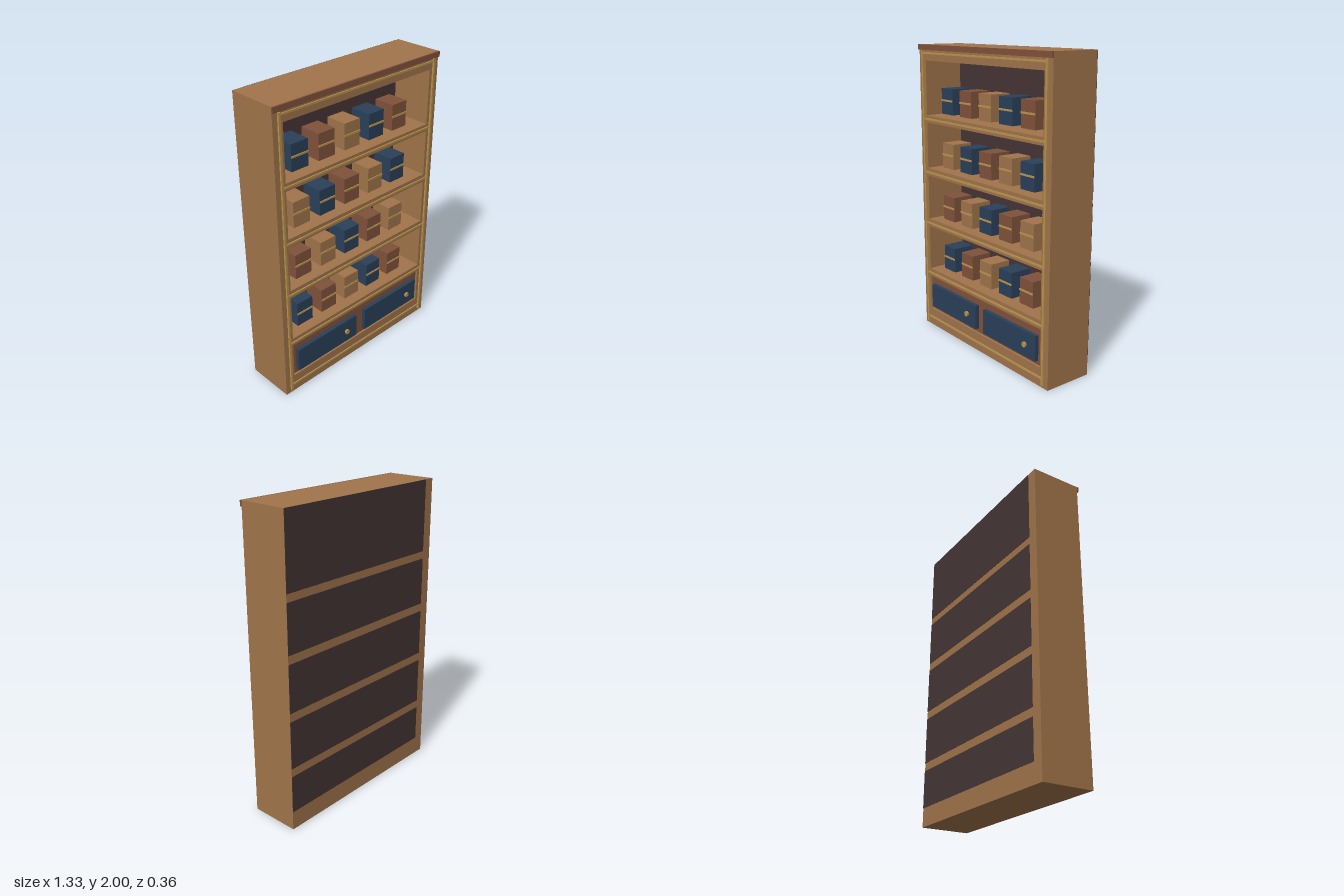
import * as THREE from 'three';

const mat = (name, color) => {
  const m = new THREE.MeshStandardMaterial({ color });
  m.name = name;
  return m;
};

export function createModel() {
  const wood = mat('oak wood', 0xa0744a);
  const red = mat('red brown wood', 0x80523b);
  const blue = mat('navy paint', 0x2a4059);
  const dark = mat('dark backing', 0x463535);
  const gold = mat('brass', 0xba934e);

  const model = new THREE.Group();
  model.name = 'bookcase';

  // Box given by its limits on each axis
  const box = (name, material, [x0, x1], [y0, y1], [z0, z1], parent = model) => {
    const mesh = new THREE.Mesh(new THREE.BoxGeometry(x1 - x0, y1 - y0, z1 - z0), material);
    mesh.position.set((x0 + x1) / 2, (y0 + y1) / 2, (z0 + z1) / 2);
    mesh.name = name;
    parent.add(mesh);
    return mesh;
  };

  const W = 0.665, IN = 0.593, BACK = -0.178, FRONT = 0.155;
  const shelves = [[0.375, 0.43], [0.745, 0.8], [1.11, 1.165], [1.48, 1.53]];

  // Carcass: sides, bottom, top and shelves
  for (const s of [-1, 1]) {
    const xs = s < 0 ? [-W, -IN] : [IN, W];
    box(s < 0 ? 'rightSide' : 'leftSide', wood, xs, [0, 2], [BACK, FRONT]);
  }
  box('bottomPanel', wood, [-IN, IN], [0, 0.125], [BACK, FRONT]);
  box('topPanel', wood, [-IN, IN], [1.895, 2], [BACK, FRONT]);
  for (const ys of shelves) box('shelf', wood, [-IN, IN], ys, [BACK, FRONT]);

  // Backing, split by the shelves, with a thin outer skin
  const bays = [[0.125, 0.375], [0.43, 0.745], [0.8, 1.11], [1.165, 1.48], [1.53, 1.895]];
  bays.forEach(([y0, y1], i) => {
    box('backPanel', dark, [-IN, IN], [y0, y1], [BACK, -0.125]);
    box('backSkin', dark, [-IN, W], [y0, i === 4 ? 2 : y1], [-0.18, BACK]);
  });

  // Crown moulding along the front
  box('crown', red, [-W - 0.002, W + 0.002], [1.965, 2], [FRONT, 0.166]);

  // Brass trim on the face frame
  for (const s of [-1, 1]) {
    box('verticalTrim', gold, [s * 0.6225 - 0.0075, s * 0.6225 + 0.0075], [0.02, 1.96], [FRONT, 0.166]);
  }
  for (const y of [0.06, 0.4, 0.77, 1.135, 1.505, 1.945]) {
    box('horizontalTrim', gold, [-0.615, 0.615], [y - 0.006, y + 0.006], [FRONT, 0.162]);
  }

  // Drawer base with two drawers and knobs
  box('drawerBase', red, [-IN, IN], [0.125, 0.362], [-0.125, 0.14]);
  for (const [x0, x1, knobX] of [[-0.56, -0.04, -0.135], [0.04, 0.56, 0.465]]) {
    const drawer = new THREE.Group();
    drawer.name = 'drawer';
    model.add(drawer);
    box('drawerFront', blue, [x0, x1], [0.153, 0.32], [0.12, 0.167], drawer);
    const knob = new THREE.Mesh(new THREE.CylinderGeometry(0.018, 0.018, 0.015, 10), gold);
    knob.rotation.x = Math.PI / 2;
    knob.position.set(knobX, 0.235, 0.1725);
    knob.name = 'knob';
    drawer.add(knob);
  }

  // Storage boxes with a brass band, colours stepping along each row
  const cycle = [blue, red, wood];
  [0.445, 0.81, 1.177, 1.545].forEach((y, row) => {
    for (let i = 0; i < 5; i++) {
      const x = -0.435 + i * 0.2065;
      const g = new THREE.Group();
      g.name = 'storageBox';
      model.add(g);
      box('boxBody', cycle[(i + row) % 3], [x - 0.063, x + 0.063], [y, y + 0.171], [-0.052, 0.095], g);
      box('boxBand', gold, [x - 0.063, x + 0.063], [y + 0.086, y + 0.098], [0.095, 0.1], g);
    }
  });

  return model;
}
